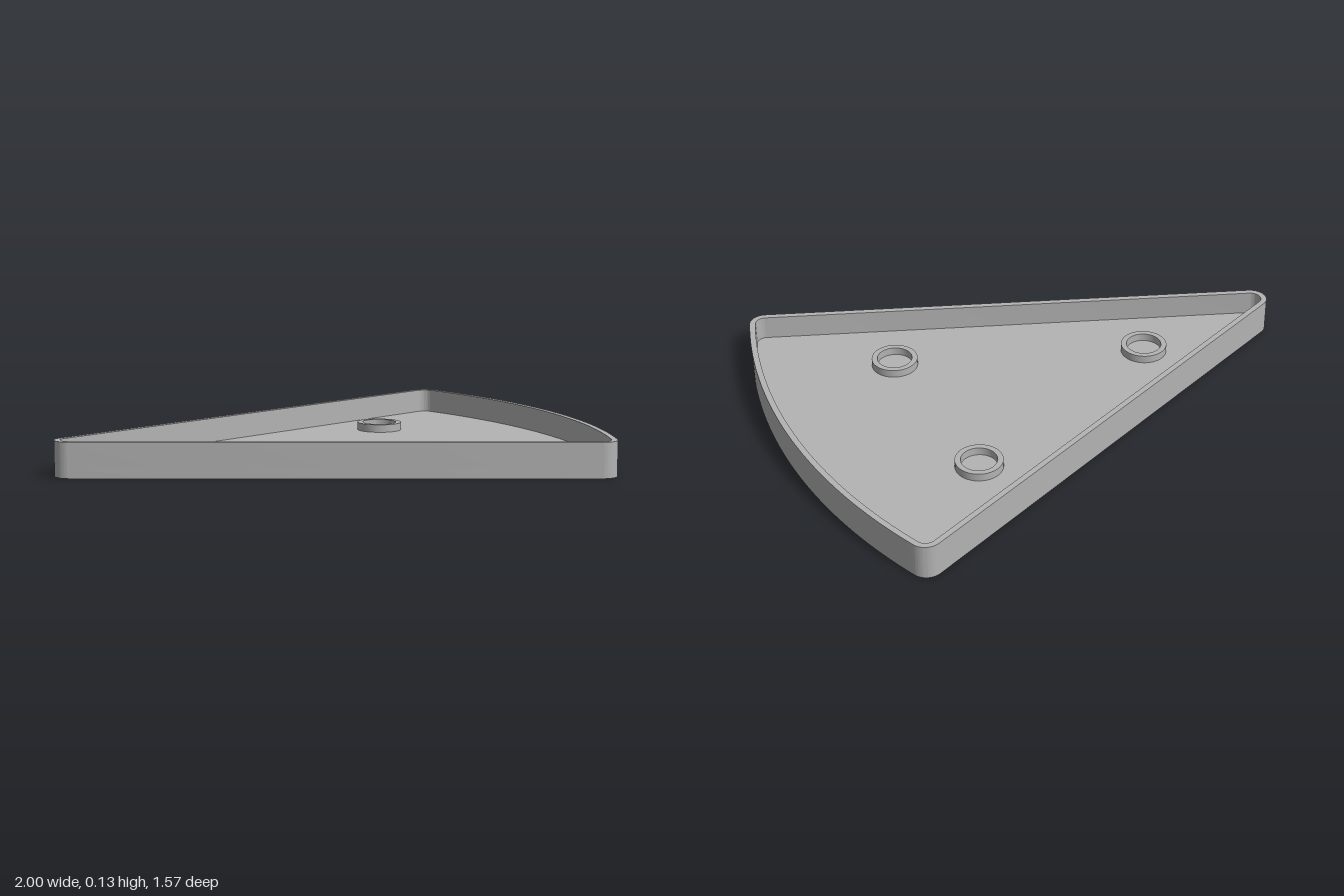
import * as THREE from 'three';
import { toCreasedNormals } from 'three/addons/utils/BufferGeometryUtils.js';

const HALF = Math.PI / 8;          // half of the 45 degree wedge
const TIP = -1.097, RADIUS = 2.097; // sharp tip and arc radius
const CORNER = 0.06, WALL = 0.022;
const HEIGHT = 0.131, FLOOR = 0.04, RING = 0.03;

// Rounded wedge outline, moved inwards by inset
function wedge(inset, PathType) {
  const r = CORNER - inset, reach = RADIUS - CORNER;
  const a = HALF - Math.asin(CORNER / reach);
  const cx = TIP + reach * Math.cos(a), cy = reach * Math.sin(a);
  const nose = TIP + CORNER / Math.sin(HALF);
  const side = Math.PI / 2 + HALF;
  const path = new PathType();
  path.absarc(nose, 0, r, side, 2 * Math.PI - side, false);
  path.absarc(cx, -cy, r, -Math.PI / 2 + HALF - 2 * HALF, -a, false);
  path.absarc(TIP, 0, RADIUS - inset, -a, a, false);
  path.absarc(cx, cy, r, a, side, false);
  path.closePath();
  return path;
}

// Extrude a flat plan upwards from height y
function slab(name, shape, y, height, material) {
  let geo = new THREE.ExtrudeGeometry(shape, { depth: height, bevelEnabled: false, curveSegments: 24 });
  geo.rotateX(-Math.PI / 2);
  geo = toCreasedNormals(geo, Math.PI / 6);
  const mesh = new THREE.Mesh(geo, material);
  mesh.name = name;
  mesh.position.y = y;
  return mesh;
}

export function createModel() {
  const group = new THREE.Group();
  group.name = 'wedgeTray';
  const grey = new THREE.MeshStandardMaterial({ color: 0xb3b3b3 });
  grey.name = 'grey';

  // Solid base and the thin rim wall standing on it
  group.add(slab('base', wedge(0, THREE.Shape), 0, FLOOR, grey));
  const rim = wedge(0, THREE.Shape);
  rim.holes.push(wedge(WALL, THREE.Path));
  group.add(slab('rimWall', rim, FLOOR, HEIGHT - FLOOR, grey));

  // Three low ring sockets on the floor
  for (const [x, z] of [[-0.455, 0], [0.43, 0.36], [0.43, -0.36]]) {
    const shape = new THREE.Shape().absarc(0, 0, 0.087, 0, Math.PI * 2, false);
    shape.holes.push(new THREE.Path().absarc(0, 0, 0.066, 0, Math.PI * 2, true));
    const ring = slab('ringSocket', shape, FLOOR, RING, grey);
    ring.position.x = x;
    ring.position.z = z;
    group.add(ring);
  }
  return group;
}
